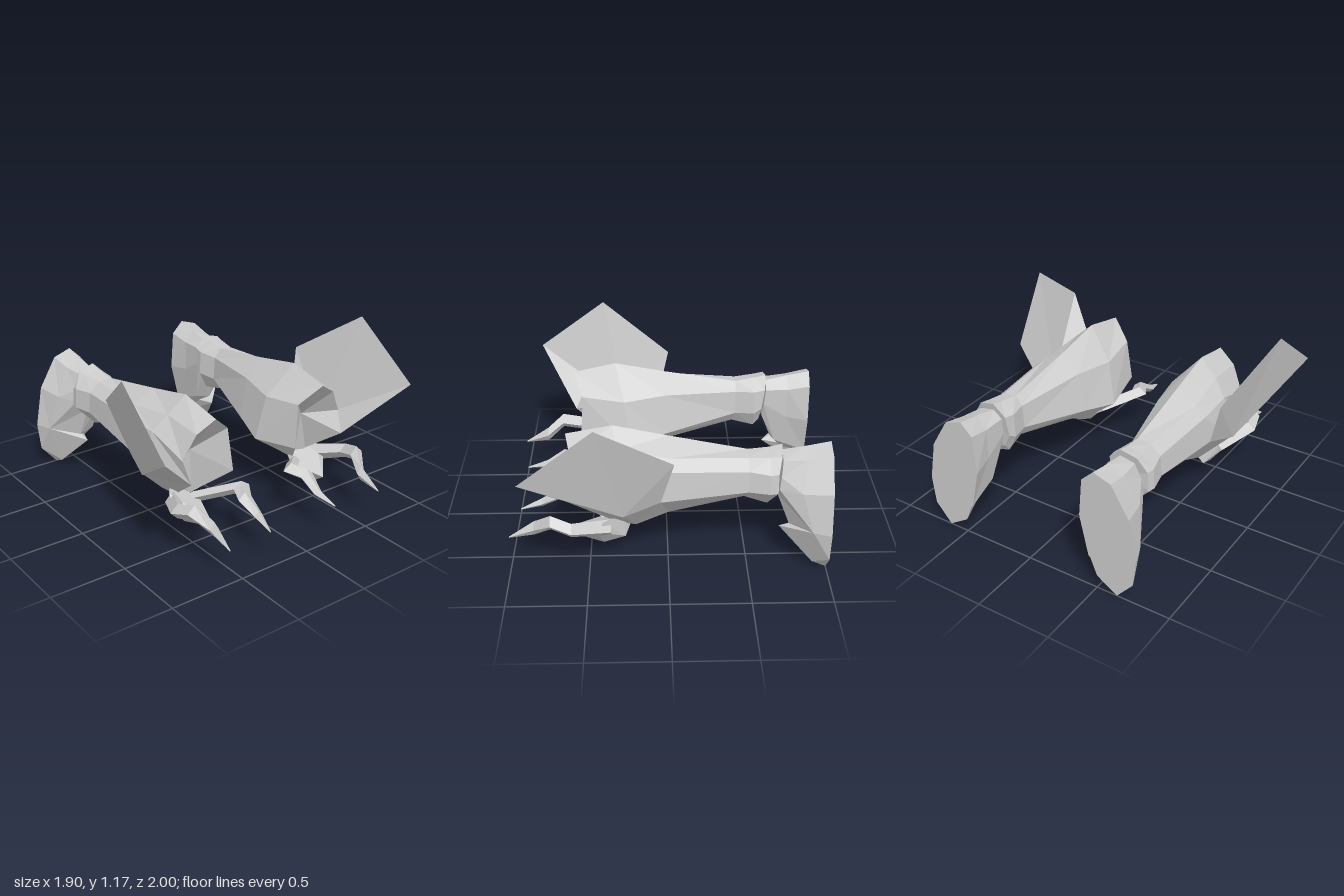
import * as THREE from 'three';
import { ConvexGeometry } from 'three/addons/geometries/ConvexGeometry.js';

const material = new THREE.MeshStandardMaterial({
  color: 0xcccccc, flatShading: true, side: THREE.DoubleSide,
});

function named(name, geometry) {
  const mesh = new THREE.Mesh(geometry, material);
  mesh.name = name;
  return mesh;
}

// Faceted surface from a list of triangle corners
function facets(corners) {
  const geometry = new THREE.BufferGeometry();
  geometry.setAttribute('position', new THREE.Float32BufferAttribute(corners.flat(), 3));
  geometry.computeVertexNormals();
  return geometry;
}

const middle = (ring) => [0, 1, 2].map((k) => ring.reduce((sum, p) => sum + p[k], 0) / ring.length);

// Skin rings running back to front; each ring goes top, outer, bottom, inner
function loft(rings, frontCentre) {
  const out = [];
  const n = rings[0].length;
  const first = rings[0], last = rings[rings.length - 1];
  const backCentre = middle(first);
  const front = frontCentre || middle(last);
  for (let j = 0; j < n; j++) {
    const k = (j + 1) % n;
    for (let i = 0; i < rings.length - 1; i++) {
      const a = rings[i][j], b = rings[i][k], c = rings[i + 1][k], d = rings[i + 1][j];
      out.push(a, d, c, a, c, b);
    }
    out.push(backCentre, first[j], first[k], front, last[k], last[j]);
  }
  return facets(out);
}

const hull = (points) => new ConvexGeometry(points.map((p) => new THREE.Vector3(...p)));

// Tapered four-sided finger; each joint is x, y, z, half width, half height
function finger(joints) {
  return loft(joints.map(([x, y, z, w, h]) => [
    [x, y + h, z], [x + w, y, z], [x, y - h, z], [x - w, y, z],
  ]));
}

function createArm() {
  const arm = new THREE.Group();

  // Upper arm, cut flat at the back
  arm.add(named('upperArm', loft([
    [[0.48, 0.84, -1], [0.6, 0.8, -1], [0.72, 0.6, -1], [0.77, 0.33, -1],
      [0.64, 0.01, -1], [0.44, 0.23, -1], [0.38, 0.5, -1], [0.4, 0.76, -1]],
    [[0.48, 0.81, -0.85], [0.59, 0.77, -0.85], [0.68, 0.58, -0.82], [0.73, 0.33, -0.89],
      [0.56, 0.29, -0.76], [0.45, 0.31, -0.78], [0.41, 0.52, -0.85], [0.41, 0.73, -0.85]],
    [[0.47, 0.78, -0.7], [0.57, 0.76, -0.7], [0.61, 0.66, -0.69], [0.62, 0.58, -0.68],
      [0.54, 0.5, -0.68], [0.44, 0.52, -0.68], [0.41, 0.62, -0.69], [0.41, 0.73, -0.7]],
  ])));

  // Pointed lump under the elbow
  arm.add(named('elbow', hull([
    [0.54, 0.26, -0.7], [0.73, 0.33, -0.89], [0.77, 0.33, -1], [0.75, 0.14, -1],
    [0.64, 0.01, -1], [0.64, 0.05, -0.91], [0.5, 0.1, -1], [0.44, 0.25, -1], [0.56, 0.3, -0.78],
  ])));

  // Forearm flares from the cuff to a hollow, faceted mouth
  arm.add(named('forearm', loft([
    [[0.47, 0.82, -0.7], [0.58, 0.79, -0.69], [0.64, 0.7, -0.67], [0.65, 0.57, -0.67],
      [0.52, 0.47, -0.65], [0.43, 0.5, -0.66], [0.38, 0.6, -0.67], [0.39, 0.74, -0.69]],
    [[0.47, 0.8, -0.62], [0.57, 0.78, -0.62], [0.65, 0.7, -0.62], [0.66, 0.57, -0.62],
      [0.52, 0.42, -0.62], [0.43, 0.45, -0.62], [0.37, 0.57, -0.62], [0.38, 0.73, -0.62]],
    [[0.46, 0.78, -0.49], [0.55, 0.77, -0.49], [0.62, 0.71, -0.49], [0.63, 0.57, -0.49],
      [0.53, 0.48, -0.47], [0.45, 0.48, -0.47], [0.4, 0.56, -0.49], [0.41, 0.72, -0.49]],
    [[0.44, 0.87, 0], [0.58, 0.79, 0], [0.65, 0.73, 0], [0.67, 0.53, 0.05],
      [0.52, 0.36, 0], [0.39, 0.37, 0], [0.26, 0.48, 0], [0.31, 0.75, 0]],
    [[0.43, 0.94, 0.34], [0.55, 0.83, 0.32], [0.64, 0.73, 0.28], [0.71, 0.46, 0.28],
      [0.52, 0.27, 0.2], [0.4, 0.28, 0.18], [0.19, 0.43, 0.25], [0.25, 0.73, 0.28]],
    [[0.42, 0.88, 0.63], [0.54, 0.8, 0.6], [0.62, 0.64, 0.57], [0.6, 0.5, 0.63],
      [0.52, 0.32, 0.38], [0.46, 0.24, 0.32], [0.25, 0.47, 0.58], [0.28, 0.76, 0.56]],
  ], [0.45, 0.6, 0.4])));

  // Thin fin leaning outward, with its lower gussets
  const tip = [0.95, 0.84, 0.88], peak = [0.93, 1.18, 0.43], rear = [0.77, 0.86, -0.03];
  const root = [0.72, 0.46, 0.28], mouth = [0.6, 0.5, 0.63], side = [0.67, 0.53, 0.05];
  arm.add(named('fin', facets([
    tip, root, peak, peak, root, rear, tip, mouth, root, root, side, rear,
  ])));

  // Small palm with a pointed lower edge
  arm.add(named('palm', hull([
    [0.47, 0.27, 0.23], [0.52, 0.34, 0.28], [0.6, 0.34, 0.4], [0.38, 0.25, 0.4],
    [0.5, 0.12, 0.41], [0.48, 0.15, 0.53], [0.52, 0.18, 0.27], [0.46, 0.22, 0.63],
    [0.62, 0.28, 0.45],
  ])));

  // Two hooked claws
  arm.add(named('outerClaw', finger([
    [0.55, 0.27, 0.36, 0.06, 0.06], [0.68, 0.34, 0.6, 0.05, 0.05],
    [0.65, 0.38, 0.73, 0.05, 0.05], [0.59, 0.3, 0.84, 0.03, 0.05], [0.595, 0.235, 1, 0.004, 0.005],
  ])));
  arm.add(named('innerClaw', finger([
    [0.42, 0.25, 0.38, 0.06, 0.04], [0.2, 0.35, 0.6, 0.06, 0.04],
    [0.25, 0.33, 0.7, 0.05, 0.04], [0.24, 0.26, 0.82, 0.03, 0.03], [0.26, 0.22, 0.96, 0.004, 0.005],
  ])));
  return arm;
}

export function createModel() {
  const model = new THREE.Group();
  model.name = 'armPair';
  for (const [name, sign] of [['leftArm', 1], ['rightArm', -1]]) {
    const arm = createArm();
    arm.name = name;
    arm.scale.x = sign;
    model.add(arm);
  }
  return model;
}
